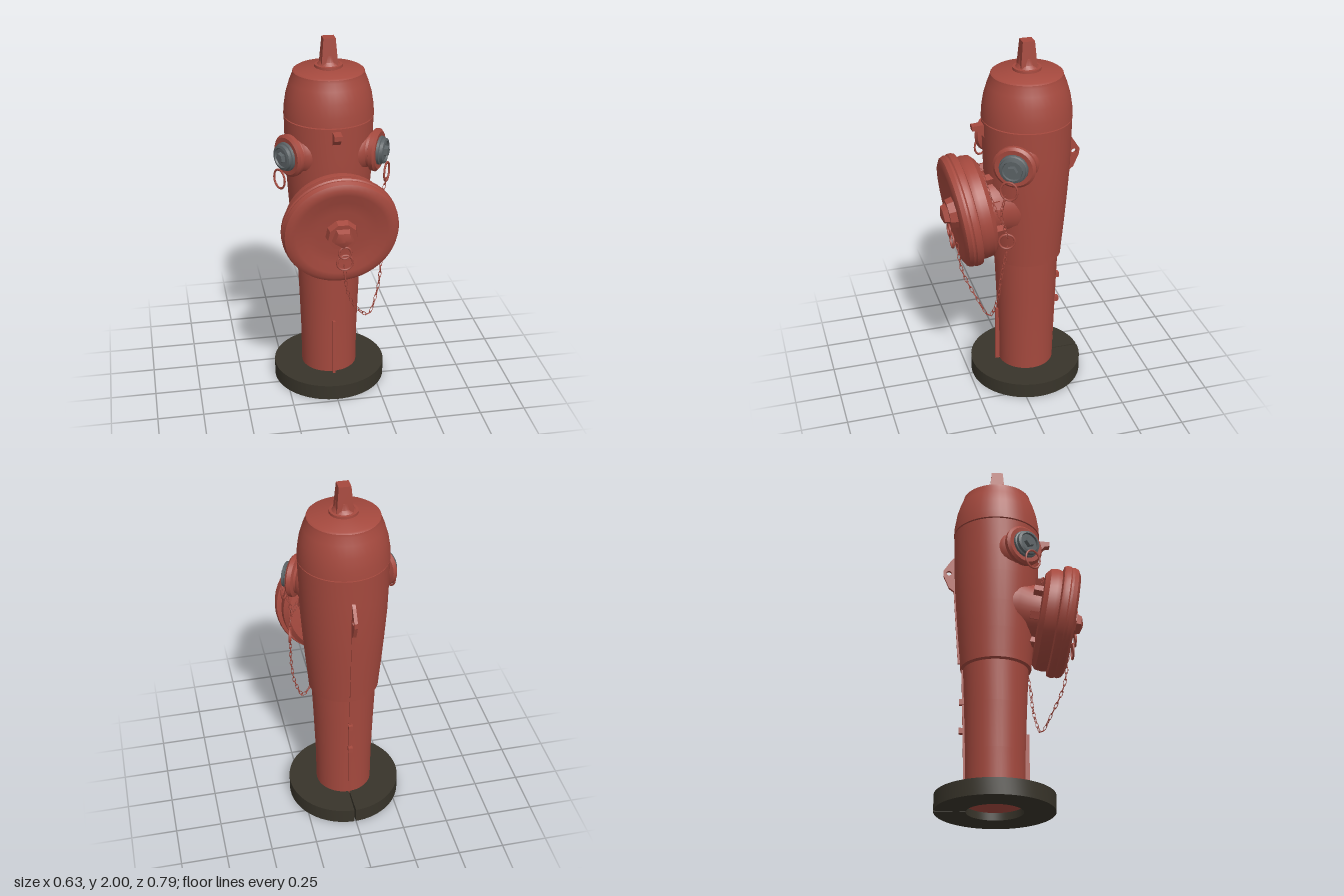
import * as THREE from 'three';
import { toCreasedNormals } from 'three/addons/utils/BufferGeometryUtils.js';

const material = (name, color) => {
  const m = new THREE.MeshStandardMaterial({ color });
  m.name = name;
  return m;
};

export function createModel() {
  const red = material('hydrant red', 0xa5493e);
  const dark = material('dark base', 0x38342a);
  const grey = material('cap grey', 0x5b6265);
  const UP = new THREE.Vector3(0, 1, 0);
  const model = new THREE.Group();
  model.name = 'hydrant';

  const add = (parent, name, geometry, mat, x = 0, y = 0, z = 0) => {
    const mesh = new THREE.Mesh(geometry, mat);
    mesh.name = name;
    mesh.position.set(x, y, z);
    parent.add(mesh);
    return mesh;
  };
  // Profile points are [radius, height], from bottom to top
  const turned = (parent, name, points, mat, sides = 40) => add(parent, name, toCreasedNormals(
    new THREE.LatheGeometry(points.map(p => new THREE.Vector2(...p)), sides), 0.6), mat);
  const prism = (parent, name, top, bottom, h, sides, mat, y) => add(parent, name,
    toCreasedNormals(new THREE.CylinderGeometry(top, bottom, h, sides), 0.6), mat, 0, y, 0);

  const barrel = new THREE.Group();
  barrel.name = 'barrel';
  barrel.position.set(0.005, 0, -0.08);
  model.add(barrel);

  // Base ring, split at the back
  const ring = new THREE.Shape();
  const gap = 0.015;
  ring.absarc(0, 0, 0.312, Math.PI / 2 + gap, Math.PI * 2.5 - gap, false);
  ring.absarc(0, 0, 0.148, Math.PI * 2.5 - gap, Math.PI / 2 + gap, true);
  const ringGeometry = new THREE.ExtrudeGeometry(ring, { depth: 0.086, bevelEnabled: false, curveSegments: 36 });
  ringGeometry.rotateX(-Math.PI / 2);
  add(barrel, 'baseRing', toCreasedNormals(ringGeometry, 0.6), dark);

  // Standpipe, upper body and bonnet
  turned(barrel, 'standpipe', [[0, 0.04], [0.154, 0.04], [0.157, 0.3], [0.166, 0.55], [0.176, 0.79]], red);
  turned(barrel, 'upperBody', [[0.172, 0.77], [0.19, 0.78], [0.193, 0.82], [0.205, 0.95], [0.217, 1.1],
    [0.229, 1.27], [0.234, 1.42], [0.237, 1.582], [0, 1.582]], red);
  turned(barrel, 'bonnet', [[0, 1.589], [0.239, 1.589], [0.236, 1.64], [0.225, 1.71], [0.207, 1.77],
    [0.191, 1.81], [0.188, 1.825], [0.178, 1.832], [0, 1.838]], red);

  // Operating nut
  turned(barrel, 'nutCollar', [[0, 1.83], [0.055, 1.83], [0.055, 1.842], [0.075, 1.845], [0.074, 1.858], [0, 1.862]], red, 20);
  turned(barrel, 'nutFillet', [[0.062, 1.857], [0.046, 1.875], [0.041, 1.91], [0, 1.93]], red, 16);
  prism(barrel, 'operatingNut', 0.045, 0.062, 0.145, 4, red, 1.9275).rotation.y = Math.PI / 4;
  prism(barrel, 'nutTip', 0.016, 0.02, 0.01, 6, red, 1.995);

  // Seam ribs and clips
  add(barrel, 'frontRib', new THREE.BoxGeometry(0.014, 0.34, 0.03), red, 0, 0.25, 0.163);
  const backRib = add(barrel, 'backRib', new THREE.BoxGeometry(0.014, 0.7, 0.02), red, 0, 0.44, -0.162);
  backRib.rotation.x = -0.032;
  for (const y of [0.43, 0.59]) add(barrel, 'backClip', new THREE.BoxGeometry(0.024, 0.03, 0.03), red, 0, y, -0.177);
  const keel = add(barrel, 'bodySeam', new THREE.BoxGeometry(0.016, 0.5, 0.02), red, 0, 1.06, -0.211);
  keel.rotation.x = -0.07;

  // Side plates in the z-y plane; shape x is model z
  const plate = (name, outline, thickness, hole) => {
    const shape = new THREE.Shape(outline.map(p => new THREE.Vector2(...p)));
    if (hole) shape.holes.push(new THREE.Path().absarc(...hole, 0, Math.PI * 2, true));
    const g = new THREE.ExtrudeGeometry(shape, { depth: thickness, bevelEnabled: false, curveSegments: 8 });
    g.translate(0, 0, -thickness / 2).rotateY(-Math.PI / 2);
    add(model, name, g, red, 0.005);
  };
  plate('backLug', [[-0.3, 1.23], [-0.3, 1.46], [-0.33, 1.43], [-0.372, 1.365], [-0.372, 1.335], [-0.34, 1.26]],
    0.018, [-0.342, 1.35, 0.014]);
  plate('frontLug', [[0.13, 1.47], [0.165, 1.51], [0.19, 1.535], [0.217, 1.54], [0.217, 1.565], [0.13, 1.57]], 0.042);

  // Side outlets with grey caps
  for (const s of [-1, 1]) {
    const outlet = new THREE.Group();
    outlet.name = s > 0 ? 'leftOutlet' : 'rightOutlet';
    outlet.position.set(0.005, 1.415, -0.08);
    outlet.quaternion.setFromUnitVectors(UP, new THREE.Vector3(s * 0.87, 0, 0.493).normalize());
    model.add(outlet);
    turned(outlet, 'outletNeck', [[0.135, 0.16], [0.11, 0.215], [0.092, 0.232], [0.09, 0.245], [0.112, 0.252],
      [0.114, 0.275], [0.1, 0.287], [0.07, 0.285], [0, 0.28]], red, 28);
    turned(outlet, 'outletCap', [[0.078, 0.275], [0.076, 0.298], [0.069, 0.302], [0.067, 0.318], [0.054, 0.322],
      [0.05, 0.312], [0, 0.312]], grey, 20);
    prism(outlet, 'capNut', 0.026, 0.03, 0.022, 5, grey, 0.322);
    const hook = add(model, 'capHook', new THREE.TorusGeometry(0.045, 0.0055, 6, 16), red, s * 0.285, 1.305, 0.095);
    hook.rotation.set(0, s * 1.05, 0);
    hook.scale.set(1, 1.15, 1);
  }

  // Large front outlet, tilted slightly down
  const main = new THREE.Group();
  main.name = 'mainOutlet';
  main.position.set(0.003, 1.077, 0.28);
  main.rotation.x = Math.PI / 2 + 0.147;
  model.add(main);
  turned(main, 'mainNeck', [[0.205, -0.32], [0.2, -0.25], [0.18, -0.2], [0.175, -0.1]], red);
  turned(main, 'mainCap', [[0, -0.135], [0.2, -0.135], [0.25, -0.13], [0.278, -0.105], [0.283, -0.065], [0.277, -0.042],
    [0.303, -0.035], [0.309, -0.02], [0.309, 0], [0.303, 0.008], [0.306, 0.02], [0.297, 0.042], [0.272, 0.056],
    [0.24, 0.054], [0.19, 0.04], [0.13, 0.034], [0, 0.04]], red, 48);
  prism(main, 'capNutFlange', 0.078, 0.086, 0.04, 9, red, 0.055);
  prism(main, 'capNut', 0.05, 0.062, 0.03, 5, red, 0.088);
  prism(main, 'capNutTip', 0.012, 0.05, 0.012, 5, red, 0.109);
  for (let i = 0; i < 8; i++) {
    const a = (i + 0.5) * Math.PI / 4;
    const lug = add(main, 'neckLug', new THREE.BoxGeometry(0.04, 0.055, 0.05), red,
      Math.sin(a) * 0.19, -0.155, Math.cos(a) * 0.19);
    lug.rotation.y = a;
  }

  // Hook rings below the cap nut and beside the neck
  const rings = [[0.015, 0.975, 0.352, 0.032, 0], [0.018, 0.912, 0.338, 0.042, 0], [0.262, 1.0, 0.1, 0.042, 1.3]];
  for (const [x, y, z, r, turn] of rings) {
    add(model, 'chainRing', new THREE.TorusGeometry(r, 0.006, 6, 18), red, x, y, z).rotation.y = turn;
  }

  // Chains: small links turned alternately along a curve
  const chain = (name, points) => {
    const group = new THREE.Group();
    group.name = name;
    model.add(group);
    const curve = new THREE.CatmullRomCurve3(points.map(p => new THREE.Vector3(...p)));
    const count = Math.round(curve.getLength() / 0.034);
    const link = new THREE.TorusGeometry(0.011, 0.0024, 4, 8).scale(0.75, 1.9, 1);
    for (let i = 0; i <= count; i++) {
      const mesh = add(group, 'chainLink', link, red);
      mesh.position.copy(curve.getPointAt(i / count));
      mesh.quaternion.setFromUnitVectors(UP, curve.getTangentAt(i / count));
      mesh.rotateY(i % 2 ? Math.PI / 2 : 0.3);
    }
  };
  chain('hangingChain', [[0.02, 0.87, 0.31], [0.04, 0.72, 0.29], [0.1, 0.58, 0.23], [0.18, 0.505, 0.18],
    [0.235, 0.63, 0.145], [0.255, 0.78, 0.13], [0.262, 0.95, 0.1]]);
  chain('capChain', [[0.262, 1.04, 0.1], [0.25, 1.15, 0.125], [0.275, 1.26, 0.115]]);
  // Short chain draped over the neck
  chain('neckChain', [[-0.18, 1.22, 0.15], [-0.08, 1.3, 0.17], [0.08, 1.3, 0.175], [0.18, 1.22, 0.16], [0.24, 1.12, 0.13]]);

  return model;
}
